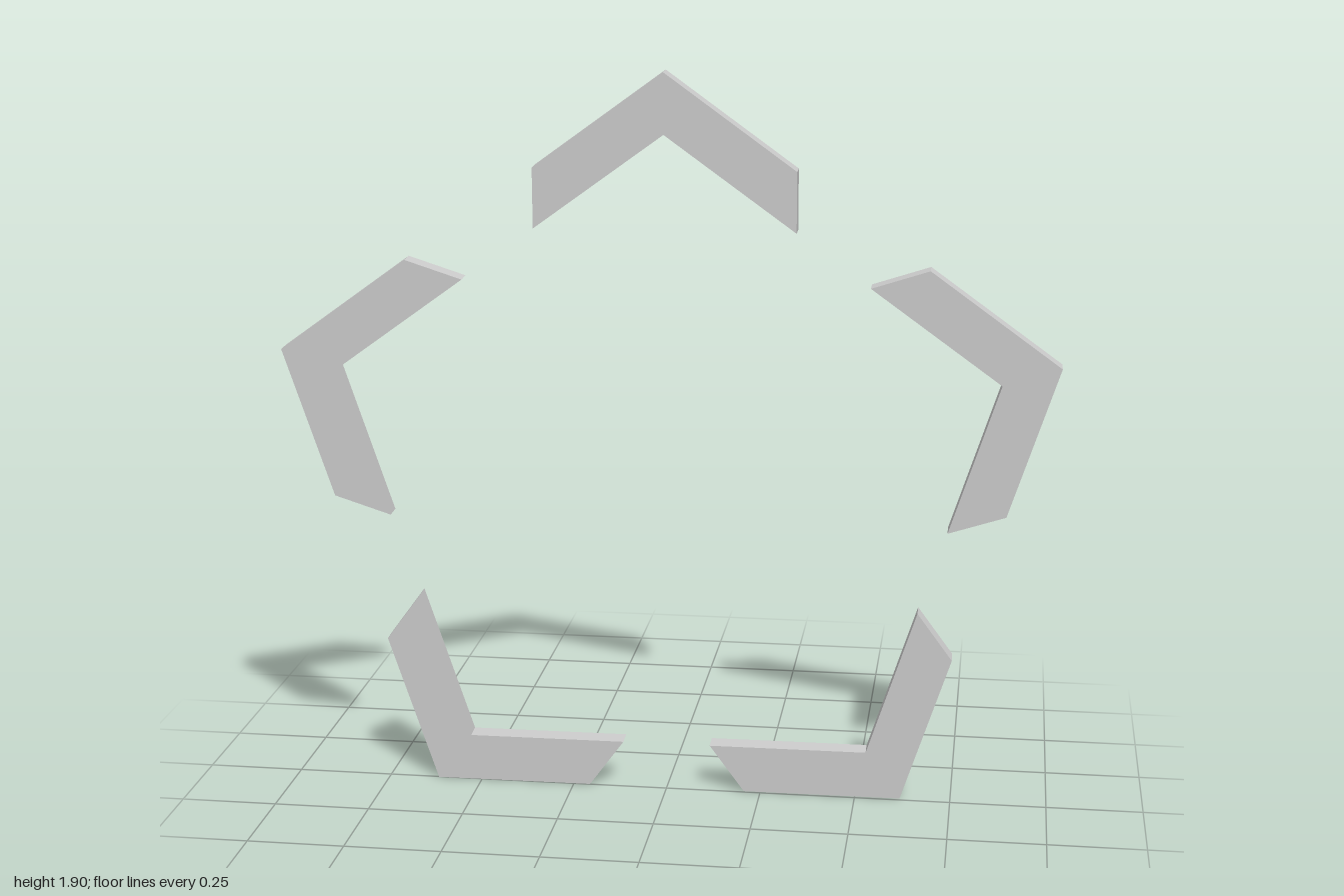
import * as THREE from 'three';

const RADIUS = 1.0515;    // centre to outer corner of the pentagon
const BAND = 0.155;       // band width measured along the corner axis
const HALF_SPAN = 0.333;  // half width of one corner piece
const DEPTH = 0.053;

// One chevron: the top corner of the pentagon, with ends cut parallel to its axis
function chevronGeometry() {
  const drop = HALF_SPAN * Math.tan(Math.PI / 5);
  const shape = new THREE.Shape([
    [0, RADIUS],
    [-HALF_SPAN, RADIUS - drop],
    [-HALF_SPAN, RADIUS - drop - BAND],
    [0, RADIUS - BAND],
    [HALF_SPAN, RADIUS - drop - BAND],
    [HALF_SPAN, RADIUS - drop],
  ].map(([x, y]) => new THREE.Vector2(x, y)));
  const geometry = new THREE.ExtrudeGeometry(shape, { depth: DEPTH, bevelEnabled: false });
  return geometry.translate(0, 0, -DEPTH / 2);
}

export function createModel() {
  const model = new THREE.Group();
  model.name = 'brokenPentagon';

  // The ring leans very slightly forward and to one side
  const ring = new THREE.Group();
  ring.name = 'cornerRing';
  ring.position.set(0, 0.852, 0);
  ring.rotation.set(0.035, 0.009, 0);
  model.add(ring);

  const geometry = chevronGeometry();
  const material = new THREE.MeshStandardMaterial({ color: 0xcccccc, flatShading: true });
  const names = ['topCorner', 'upperRightCorner', 'lowerRightCorner', 'lowerLeftCorner', 'upperLeftCorner'];

  // Five identical corners around the centre
  names.forEach((name, i) => {
    const corner = new THREE.Mesh(geometry, material);
    corner.name = name;
    corner.rotation.z = (i * 2 * Math.PI) / 5;
    ring.add(corner);
  });

  return model;
}
